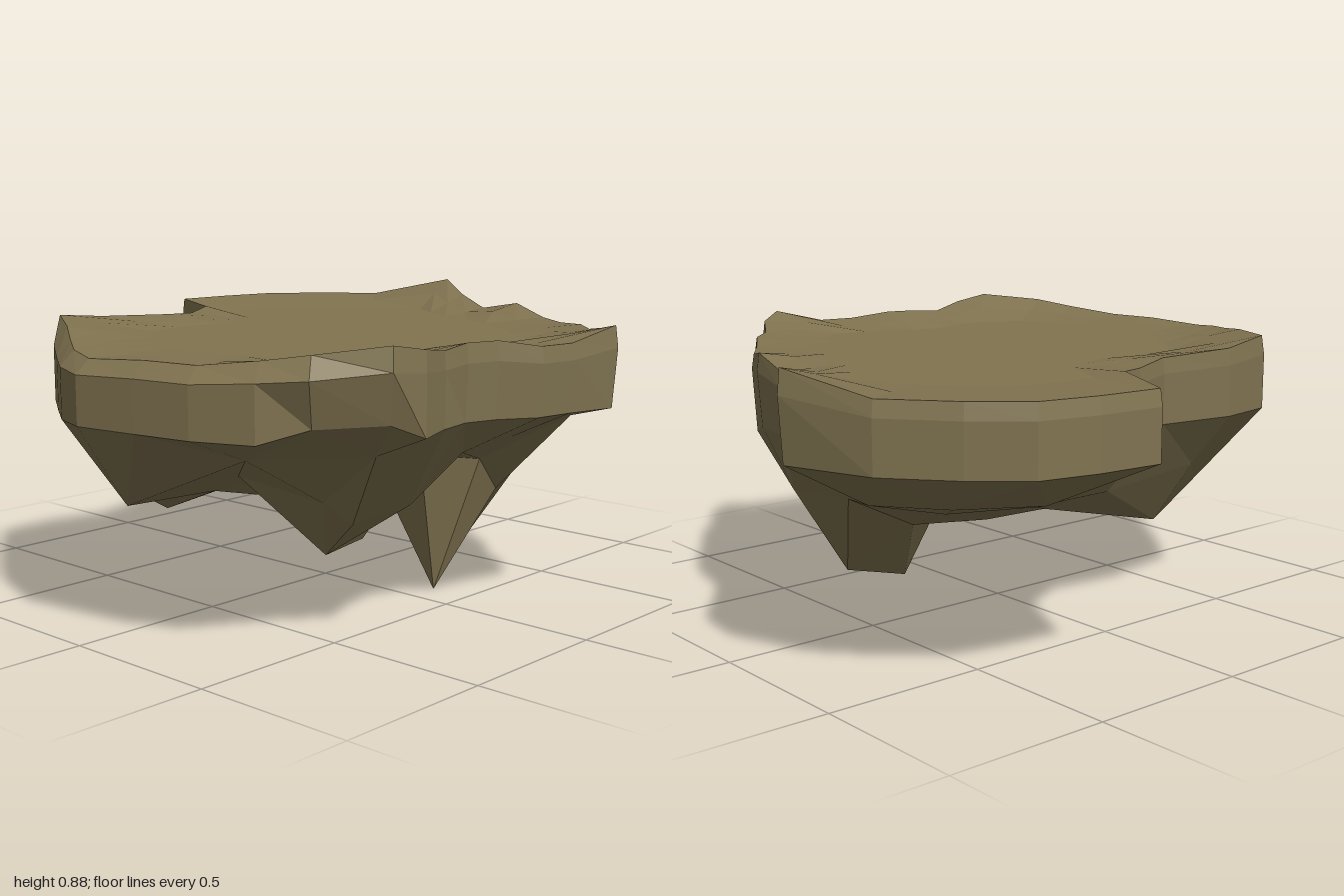
import * as THREE from 'three';

// Rim outline seen from above, clockwise from the back: x, z, height of the crest
const OUTLINE = [
  [-0.30, -1.00, 0.88], [-0.14, -0.89, 0.84], [0.03, -0.79, 0.81], [0.20, -0.755, 0.84], [0.37, -0.67, 0.81],
  [0.50, -0.58, 0.81], [0.63, -0.50, 0.82], [0.72, -0.41, 0.82], [0.84, -0.34, 0.84], [0.92, -0.24, 0.86],
  [0.88, -0.08, 0.82], [0.86, 0.04, 0.82], [0.79, 0.15, 0.84], [0.76, 0.25, 0.84], [0.77, 0.36, 0.83],
  [0.82, 0.50, 0.85], [0.81, 0.62, 0.87], [0.70, 0.81, 0.85], [0.57, 0.87, 0.83], [0.40, 0.94, 0.81],
  [0.22, 0.97, 0.81], [0.02, 1.00, 0.80], [-0.10, 0.96, 0.81], [-0.22, 0.88, 0.82], [-0.38, 0.77, 0.84],
  [-0.56, 0.62, 0.85], [-0.59, 0.43, 0.83], [-0.55, 0.18, 0.82], [-0.60, 0.03, 0.81], [-0.66, -0.09, 0.82],
  [-0.92, -0.22, 0.82], [-0.90, -0.42, 0.82], [-0.86, -0.60, 0.82], [-0.74, -0.74, 0.82], [-0.56, -0.89, 0.82],
];

// Corners of the rocky underside: x, y, z
const CRAGS = [
  // hanging spikes
  [0.37, 0.00, -0.10], [0.26, 0.10, -0.41], [0.30, 0.18, 0.32], [0.25, 0.18, 0.10],
  [-0.30, 0.24, 0.41], [0.02, 0.25, -0.03], [0.04, 0.26, 0.06], [0.12, 0.25, -0.25],
  // front
  [-0.30, 0.35, 0.60], [-0.02, 0.36, 0.80], [-0.45, 0.45, 0.42], [0.12, 0.42, 0.50],
  [0.42, 0.38, 0.46], [0.10, 0.38, 0.30], [-0.08, 0.33, 0.41], [0.40, 0.54, 0.74],
  // right side and the gullies between the spikes
  [0.47, 0.31, -0.28], [0.46, 0.31, 0.38], [0.56, 0.36, 0.25], [0.65, 0.55, 0.50], [0.65, 0.52, -0.10],
  [0.76, 0.58, -0.25], [0.63, 0.50, 0.10], [0.40, 0.45, 0.01], [0.19, 0.40, -0.01], [0.51, 0.43, -0.14],
  // left side and back
  [-0.40, 0.40, 0.10], [-0.40, 0.40, -0.20], [-0.65, 0.48, -0.38], [-0.20, 0.32, 0.02], [-0.58, 0.50, -0.65],
  [0.00, 0.41, -0.58], [-0.30, 0.47, -0.72], [0.20, 0.41, -0.64], [-0.10, 0.34, -0.30], [-0.30, 0.40, -0.45],
  [0.45, 0.36, -0.42],
];

const CENTRE = [0.1, 0];
const material = new THREE.MeshStandardMaterial({ color: 0x807350, flatShading: true });

// A ring of the outline drawn in towards the centre; scale and height are rules per outline point
const ring = (scale, height) => OUTLINE.map(([x, z, crest], i) => {
  const s = scale(x, z, i);
  return [CENTRE[0] + (x - CENTRE[0]) * s, height(crest, i), CENTRE[1] + (z - CENTRE[1]) * s];
});

function makeMesh(name, points) {
  const geometry = new THREE.BufferGeometry();
  geometry.setAttribute('position', new THREE.Float32BufferAttribute(points.flat(), 3));
  geometry.computeVertexNormals();
  const mesh = new THREE.Mesh(geometry, material);
  mesh.name = name;
  return mesh;
}

// Band of faces between two rings, the first one lower or further out
function band(a, b) {
  const out = [];
  a.forEach((p, i) => {
    const j = (i + 1) % a.length;
    out.push(p, b[i], b[j], p, b[j], a[j]);
  });
  return out;
}

// Delaunay triangulation in plan
function triangulate(points) {
  const n = points.length;
  const all = [...points, [-30, 0, -20], [30, 0, -21], [1, 0, 35]];
  const circle = (a, b, c) => {
    const [ax, , az] = all[a], [bx, , bz] = all[b], [cx, , cz] = all[c];
    const d = 2 * (ax * (bz - cz) + bx * (cz - az) + cx * (az - bz));
    const A = ax * ax + az * az, B = bx * bx + bz * bz, C = cx * cx + cz * cz;
    const x = (A * (bz - cz) + B * (cz - az) + C * (az - bz)) / d;
    const z = (A * (cx - bx) + B * (ax - cx) + C * (bx - ax)) / d;
    return { v: [a, b, c], x, z, r: Math.hypot(ax - x, az - z) };
  };
  let tris = [circle(n, n + 1, n + 2)];
  for (let p = 0; p < n; p++) {
    const edges = new Map();
    tris = tris.filter((t) => {
      if (Math.hypot(all[p][0] - t.x, all[p][2] - t.z) >= t.r) return true;
      for (let k = 0; k < 3; k++) {
        const e = [t.v[k], t.v[(k + 1) % 3]].sort((u, w) => u - w);
        const key = e.join();
        if (edges.has(key)) edges.delete(key);
        else edges.set(key, e);
      }
      return false;
    });
    for (const [a, b] of edges.values()) tris.push(circle(a, b, p));
  }
  return tris.map((t) => t.v).filter((v) => v.every((i) => i < n));
}

// Is a plan position inside a ring?
function inside(x, z, loop) {
  let hit = false;
  loop.forEach(([ax, , az], i) => {
    const [bx, , bz] = loop[(i + 1) % loop.length];
    if ((az > z) !== (bz > z) && x < ax + ((z - az) / (bz - az)) * (bx - ax)) hit = !hit;
  });
  return hit;
}

export function createModel() {
  const group = new THREE.Group();
  group.name = 'rockIsland';

  // The foot hangs lower at the back right and is undercut at the front left corner
  const undercut = (i) => i === 16 || i === 17;
  const foot = ring(
    (x, z, i) => (undercut(i) ? 0.95 : z > 0.3 || x < -0.5 ? 1 : 0.985),
    (c, i) => (undercut(i) ? 0.66 : i > 3 && i < 7 ? 0.57 : 0.62),
  );
  const shoulder = ring(() => 1, (c) => 0.76 + (c - 0.8) * 0.6);
  // The crest is set further in at the front
  const crest = ring((x, z) => (z > 0.65 ? 0.955 : 0.99), (c) => c);
  const slope = ring(() => 0.84, (c) => 0.8 + (c - 0.8) * 0.5);
  const ground = ring(() => 0.68, () => 0.8);

  // Upright side of the rim
  group.add(makeMesh('rimWall', [...band(foot, shoulder), ...band(shoulder, crest)]));

  // Uneven border falling to the flat ground
  group.add(makeMesh('rimSlope', [...band(crest, slope), ...band(slope, ground)]));
  const middle = [CENTRE[0], 0.8, CENTRE[1]];
  group.add(makeMesh('flatTop', ground.flatMap((p, i) => [p, middle, ground[(i + 1) % ground.length]])));

  // Craggy underside with faces turned downwards
  const points = [...foot, ...CRAGS];
  const faces = [];
  for (const tri of triangulate(points)) {
    const [a, b, c] = tri.map((i) => points[i]);
    if (!inside((a[0] + b[0] + c[0]) / 3, (a[2] + b[2] + c[2]) / 3, foot)) continue;
    const up = (b[2] - a[2]) * (c[0] - a[0]) - (b[0] - a[0]) * (c[2] - a[2]);
    faces.push(...(up > 0 ? [a, c, b] : [a, b, c]));
  }
  group.add(makeMesh('craggyUnderside', faces));

  return group;
}
